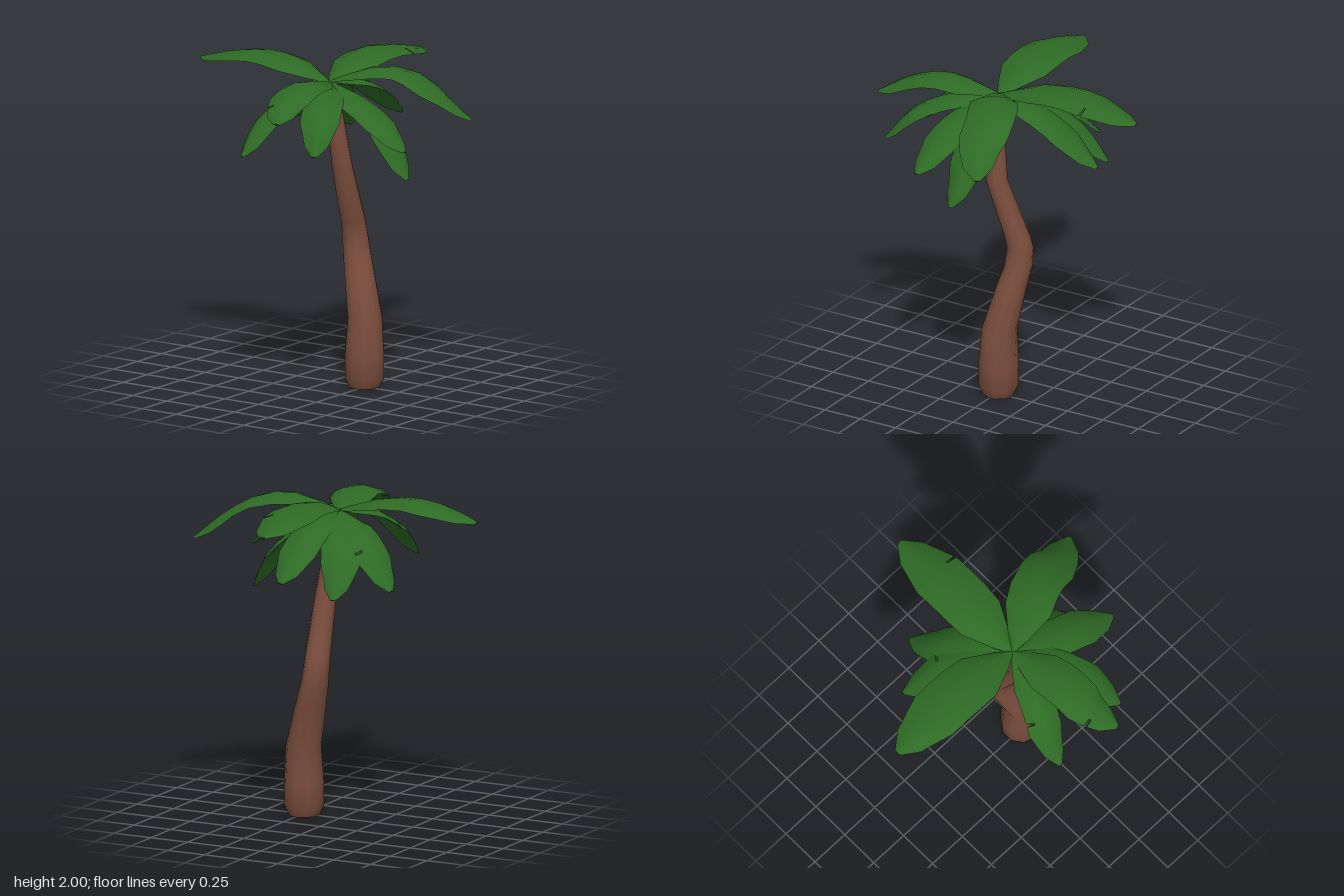
import * as THREE from 'three';
import { toCreasedNormals } from 'three/addons/utils/BufferGeometryUtils.js';

// Closed skin over a series of rings, each running counter-clockwise about the direction of travel
function loft(rings, crease) {
  const n = rings[0].length, last = (rings.length - 1) * n;
  const index = [];
  for (let i = 0; i < rings.length - 1; i++) {
    for (let j = 0; j < n; j++) {
      const a = i * n + j, b = i * n + (j + 1) % n;
      index.push(a, b, b + n, a, b + n, a + n);
    }
  }
  for (let j = 1; j < n - 1; j++) {
    index.push(0, j + 1, j, last, last + j, last + j + 1);
  }
  const geo = new THREE.BufferGeometry().setFromPoints(rings.flat());
  geo.setIndex(index);
  return toCreasedNormals(geo, crease);
}

// Trunk rings: centre x, y, z and radius
const TRUNK = [
  [0.01, 0.0, 0.24, 0.095], [0.01, 0.06, 0.24, 0.123], [0.01, 0.2, 0.24, 0.123],
  [0.015, 0.43, 0.24, 0.108], [0.06, 0.7, 0.165, 0.094], [0.083, 0.82, 0.13, 0.086],
  [0.084, 0.93, 0.115, 0.08], [0.065, 1.0, 0.117, 0.078], [-0.07, 1.35, 0.135, 0.066],
  [-0.09, 1.6, 0.107, 0.055], [-0.1, 1.87, 0.07, 0.045],
];

function trunkGeometry() {
  const sides = 10;
  return loft(TRUNK.map(([x, y, z, r]) => Array.from({ length: sides }, (_, j) => {
    const a = (j / sides) * Math.PI * 2;
    return new THREE.Vector3(x + r * Math.cos(a), y, z - r * Math.sin(a));
  })), 0.75);
}

// Half-width of a frond along its length
const OUTLINE = [[0, 0.08], [0.1, 0.45], [0.28, 0.95], [0.42, 1], [0.68, 1], [0.9, 0.6], [1, 0.14]];
function outline(u) {
  let k = 1;
  while (k < OUTLINE.length - 1 && u > OUTLINE[k][0]) k++;
  const [u0, w0] = OUTLINE[k - 1], [u1, w1] = OUTLINE[k];
  return THREE.MathUtils.mapLinear(u, u0, u1, w0, w1);
}

// Arched cross-section: across (share of half-width), height; over the top, then back below
const SECTION = [
  [1, -0.04], [0.55, -0.012], [0, 0], [-0.55, -0.012], [-1, -0.04],
  [-0.5, -0.034], [0, -0.024], [0.5, -0.034],
];
const CROWN = [-0.1, 1.88, 0.06];

// notch: [position along the frond, side (+1 or -1)]
function frondGeometry(points, width, notch) {
  const curve = new THREE.CatmullRomCurve3([CROWN, ...points].map(p => new THREE.Vector3(...p)));
  const stations = OUTLINE.map(([u]) => u).concat(0.55, 0.8);
  if (notch) stations.push(notch[0] - 0.018, notch[0], notch[0] + 0.006);
  stations.sort((a, b) => a - b);
  const rings = stations.map(u => {
    const p = curve.getPointAt(u), t = curve.getTangentAt(u);
    const side = new THREE.Vector3(0, 1, 0).cross(t).normalize();
    const up = t.clone().cross(side);
    const w = outline(u) * width / 2;
    const arch = Math.min(1, outline(u) + 0.15);
    return SECTION.map(([s, h]) => {
      const cut = notch && u === notch[0] && s * notch[1] > 0.9 ? 0.62 : 1;
      return p.clone().addScaledVector(side, s * w * cut).addScaledVector(up, h * arch);
    });
  });
  return loft(rings, 0.7);
}

// Path points after the crown, width, notch
const UPPER = [
  [[[-0.09, 1.97, -0.2], [-0.085, 2.0, -0.44], [-0.085, 1.965, -0.68], [-0.09, 1.905, -0.89]], 0.33],
  [[[0.15, 1.975, 0.06], [0.4, 2.0, 0.06], [0.62, 1.97, 0.06], [0.87, 1.905, 0.06]], 0.33, [0.69, -1]],
  [[[-0.01, 1.97, 0.26], [0.1, 1.97, 0.47], [0.15, 1.86, 0.68], [0.24, 1.69, 0.87]], 0.3],
  [[[-0.3, 1.925, 0.1], [-0.48, 1.945, 0.13], [-0.68, 1.885, 0.15], [-0.86, 1.78, 0.21]], 0.27, [0.8, -1]],
];
const LOWER = [
  [[[-0.38, 1.84, -0.02], [-0.57, 1.71, -0.1], [-0.73, 1.51, -0.14]], 0.21, [0.6, -1]],
  [[[-0.35, 1.86, 0.2], [-0.56, 1.76, 0.31], [-0.71, 1.57, 0.38]], 0.24],
  [[[-0.18, 1.84, 0.28], [-0.23, 1.74, 0.52], [-0.27, 1.57, 0.74]], 0.25],
  [[[-0.08, 1.79, 0.28], [-0.075, 1.62, 0.48], [-0.095, 1.35, 0.64]], 0.24],
  [[[0.04, 1.84, -0.13], [0.17, 1.72, -0.32], [0.27, 1.51, -0.5]], 0.24, [0.62, -1]],
  [[[0.1, 1.84, -0.06], [0.31, 1.7, -0.17], [0.5, 1.47, -0.22]], 0.24],
  [[[0.12, 1.87, 0.08], [0.38, 1.75, 0.08], [0.61, 1.565, 0.08]], 0.25],
];

export function createModel() {
  const bark = new THREE.MeshStandardMaterial({ color: 0x7a4d3d });
  bark.name = 'bark brown';
  const leaf = new THREE.MeshStandardMaterial({ color: 0x2e6a25 });
  leaf.name = 'leaf green';

  const model = new THREE.Group();
  model.name = 'palmTree';

  const trunk = new THREE.Mesh(trunkGeometry(), bark);
  trunk.name = 'trunk';
  model.add(trunk);

  for (const [name, fronds] of [['upperFronds', UPPER], ['lowerFronds', LOWER]]) {
    const group = new THREE.Group();
    group.name = name;
    fronds.forEach(([points, width, notch], i) => {
      const mesh = new THREE.Mesh(frondGeometry(points, width, notch), leaf);
      mesh.name = `frond${i + 1}`;
      group.add(mesh);
    });
    model.add(group);
  }
  return model;
}
